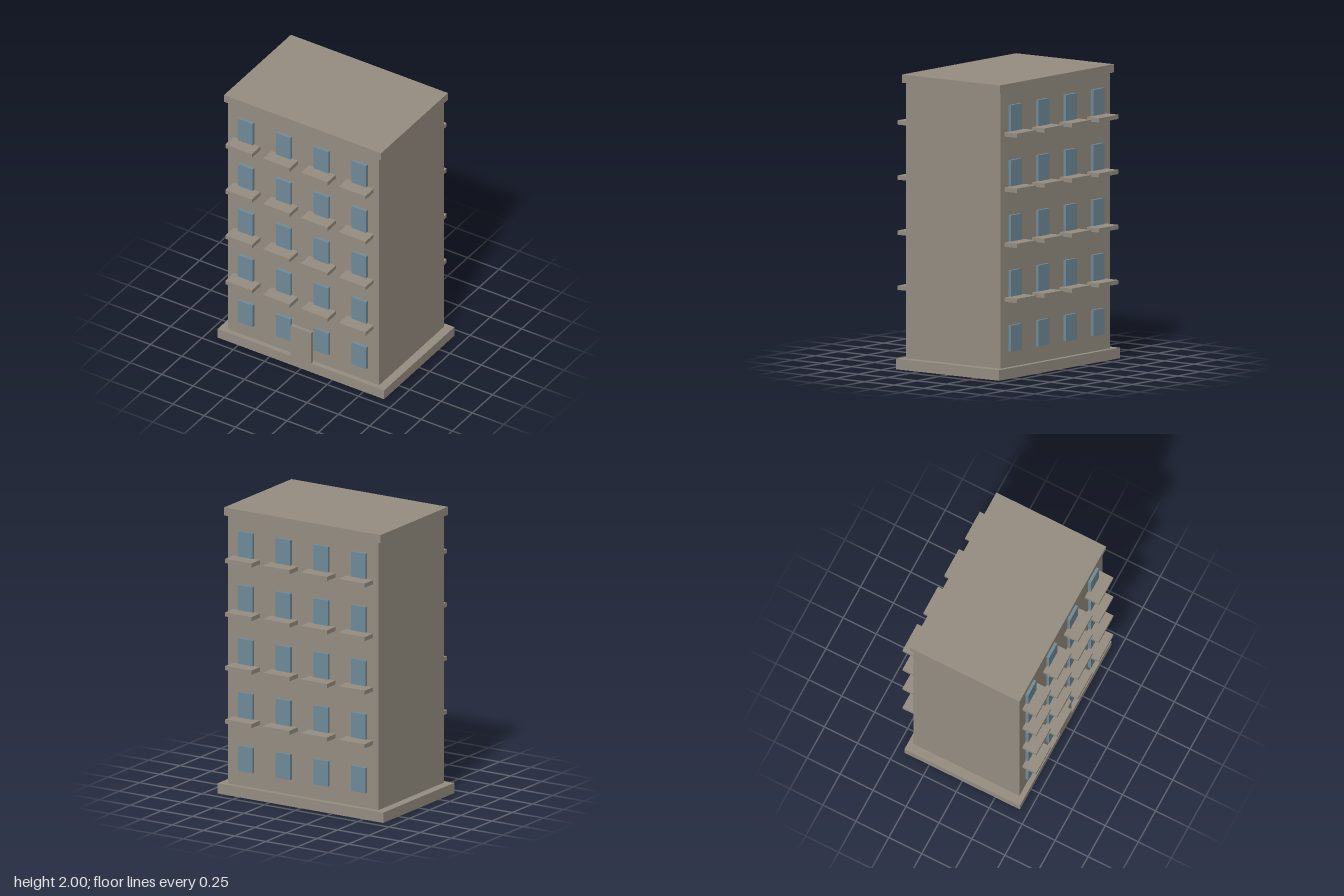
import * as THREE from 'three';

const wallMat = new THREE.MeshStandardMaterial({ color: 0x968e82 });
wallMat.name = 'warm grey concrete';
const glassMat = new THREE.MeshStandardMaterial({ color: 0x708c9a });
glassMat.name = 'blue grey glass';

// Box standing on height y, centred on x and z
function box(parent, name, material, w, h, d, x, y, z) {
  const mesh = new THREE.Mesh(new THREE.BoxGeometry(w, h, d), material);
  mesh.name = name;
  mesh.position.set(x, y + h / 2, z);
  parent.add(mesh);
}

export function createModel() {
  const model = new THREE.Group();
  model.name = 'apartmentBlock';

  // Plinth, main block and roof slab
  box(model, 'plinth', wallMat, 1.328, 0.072, 0.876, 0, 0, 0);
  box(model, 'mainBlock', wallMat, 1.206, 1.872, 0.804, 0, 0.072, 0);
  box(model, 'roofSlab', wallMat, 1.254, 0.056, 0.832, 0, 1.944, 0);

  // Entrance door panel
  box(model, 'door', wallMat, 0.164, 0.249, 0.026, 0, 0.072, 0.425);

  // Windows on every floor of both long sides, balconies from the second floor up
  const floorHeight = 0.3742;
  for (const side of [1, -1]) {
    const facade = new THREE.Group();
    facade.name = side > 0 ? 'frontFacade' : 'backFacade';
    model.add(facade);
    for (let floor = 0; floor < 5; floor++) {
      const y = 0.179 + floor * floorHeight;
      for (let column = 0; column < 4; column++) {
        const x = (column - 1.5) * 0.302;
        box(facade, 'window', glassMat, 0.117, 0.177, 0.021, x, y, side * 0.412);
        if (floor > 0) box(facade, 'balcony', wallMat, 0.212, 0.029, 0.108, x, y - 0.032, side * 0.453);
      }
    }
  }
  return model;
}
